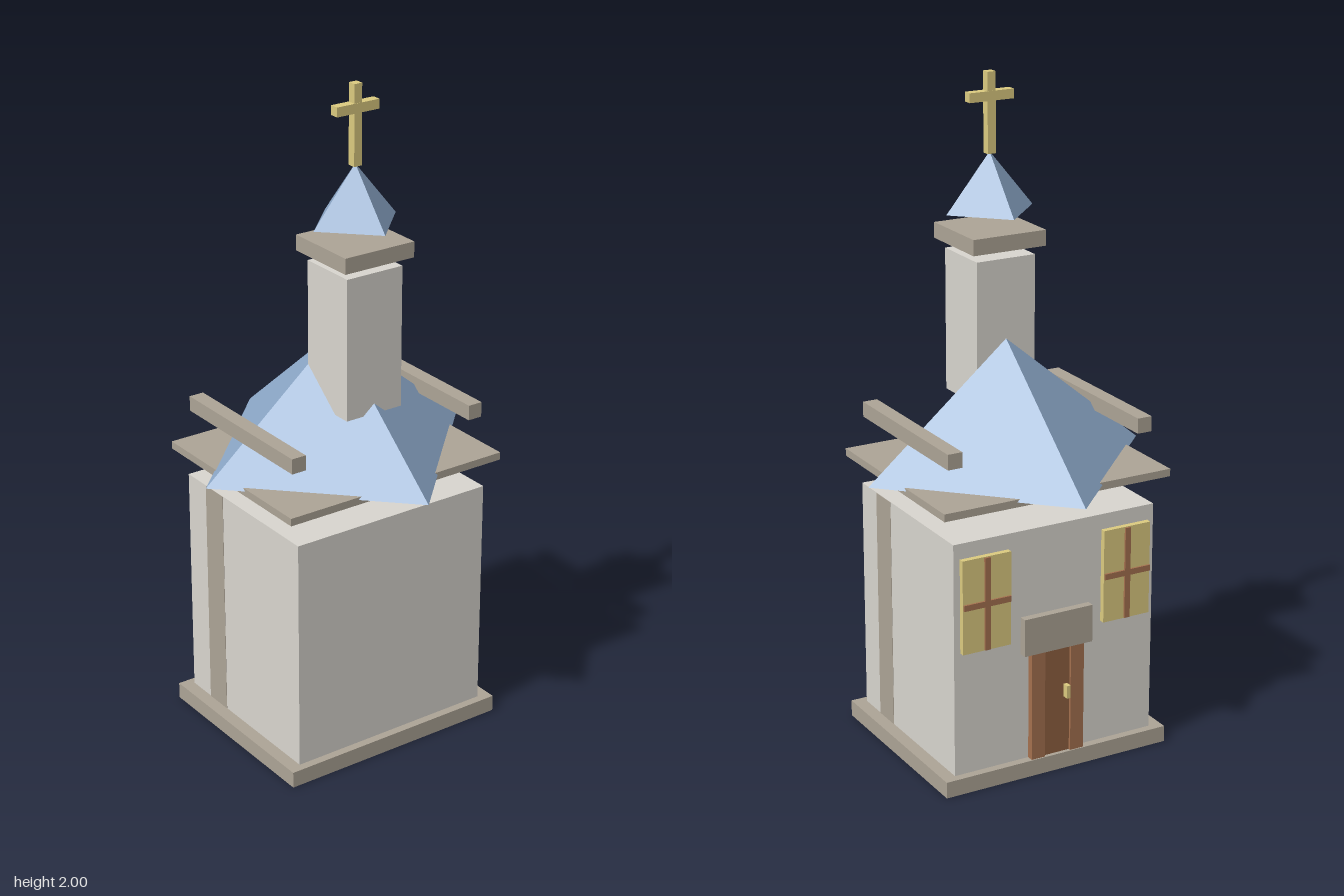
import * as THREE from 'three';

const mat = (color) => new THREE.MeshStandardMaterial({ color, flatShading: true });

export function createModel() {
  const model = new THREE.Group();
  model.name = 'chapel';
  const plaster = mat(0xd9d6cf), stone = mat(0xada496), slate = mat(0x8eaacb);
  const gold = mat(0xdccb80), wood = mat(0xa5714f), darkWood = mat(0x8f6040);

  // Box given by its extents on each axis
  const box = (name, material, [x0, x1], [y0, y1], [z0, z1], parent = model) => {
    const mesh = new THREE.Mesh(new THREE.BoxGeometry(x1 - x0, y1 - y0, z1 - z0), material);
    mesh.position.set((x0 + x1) / 2, (y0 + y1) / 2, (z0 + z1) / 2);
    mesh.name = name;
    parent.add(mesh);
    return mesh;
  };
  // Four-sided pyramid with its corners on the x and z axes
  const pyramid = (name, radius, y0, y1, z) => {
    const mesh = new THREE.Mesh(new THREE.ConeGeometry(radius, y1 - y0, 4), slate);
    mesh.position.set(0, (y0 + y1) / 2, z);
    mesh.name = name;
    model.add(mesh);
  };

  // Main body
  box('base', stone, [-0.37, 0.37], [0, 0.05], [-0.31, 0.31]);
  box('walls', plaster, [-0.33, 0.33], [0.05, 0.765], [-0.285, 0.285]);
  box('eaveSlab', stone, [-0.37, 0.37], [0.85, 0.873], [-0.31, 0.31]);
  pyramid('roof', 0.45, 0.865, 1.24, 0);

  // Side strips and roof beams
  for (const s of [-1, 1]) {
    const x = s * 0.33, z = s * 0.145;
    box('wallStrip', stone, [x - 0.001, x + 0.001], [0.05, 0.764], [z - 0.045, z + 0.045]);
    box('roofBeam', stone, [s * 0.31 - 0.023, s * 0.31 + 0.023], [0.98, 1.026], [-0.263, 0.263]);
  }

  // Bell tower
  const tz = 0.095;
  box('tower', plaster, [-0.095, 0.095], [1.05, 1.478], [tz - 0.095, tz + 0.095]);
  box('towerCap', stone, [-0.118, 0.118], [1.505, 1.552], [tz - 0.118, tz + 0.118]);
  pyramid('spire', 0.141, 1.6, 1.77, tz);

  // Cross
  const cross = new THREE.Group();
  cross.name = 'cross';
  model.add(cross);
  box('crossPost', gold, [-0.013, 0.013], [1.765, 2], [tz - 0.013, tz + 0.013], cross);
  box('crossArm', gold, [-0.071, 0.071], [1.917, 1.945], [tz - 0.014, tz + 0.014], cross);

  // Windows on the back wall
  for (const s of [-1, 1]) {
    const win = new THREE.Group();
    win.name = 'window';
    const x = s * 0.232;
    box('pane', gold, [x - 0.078, x + 0.078], [0.432, 0.718], [-0.302, -0.28], win);
    box('mullion', wood, [x - 0.009, x + 0.009], [0.434, 0.716], [-0.308, -0.29], win);
    box('transom', wood, [x - 0.076, x + 0.076], [0.567, 0.585], [-0.308, -0.29], win);
    model.add(win);
  }

  // Door on the back wall
  const door = new THREE.Group();
  door.name = 'door';
  model.add(door);
  box('doorLeaf', darkWood, [-0.06, 0.06], [0.05, 0.39], [-0.298, -0.28], door);
  for (const s of [-1, 1]) {
    box('doorPost', wood, [s * 0.065 - 0.022, s * 0.065 + 0.022], [0.05, 0.392], [-0.306, -0.28], door);
  }
  box('lintel', stone, [-0.113, 0.113], [0.385, 0.5], [-0.309, -0.28], door);
  box('handle', gold, [-0.036, -0.024], [0.225, 0.265], [-0.318, -0.29], door);

  return model;
}
